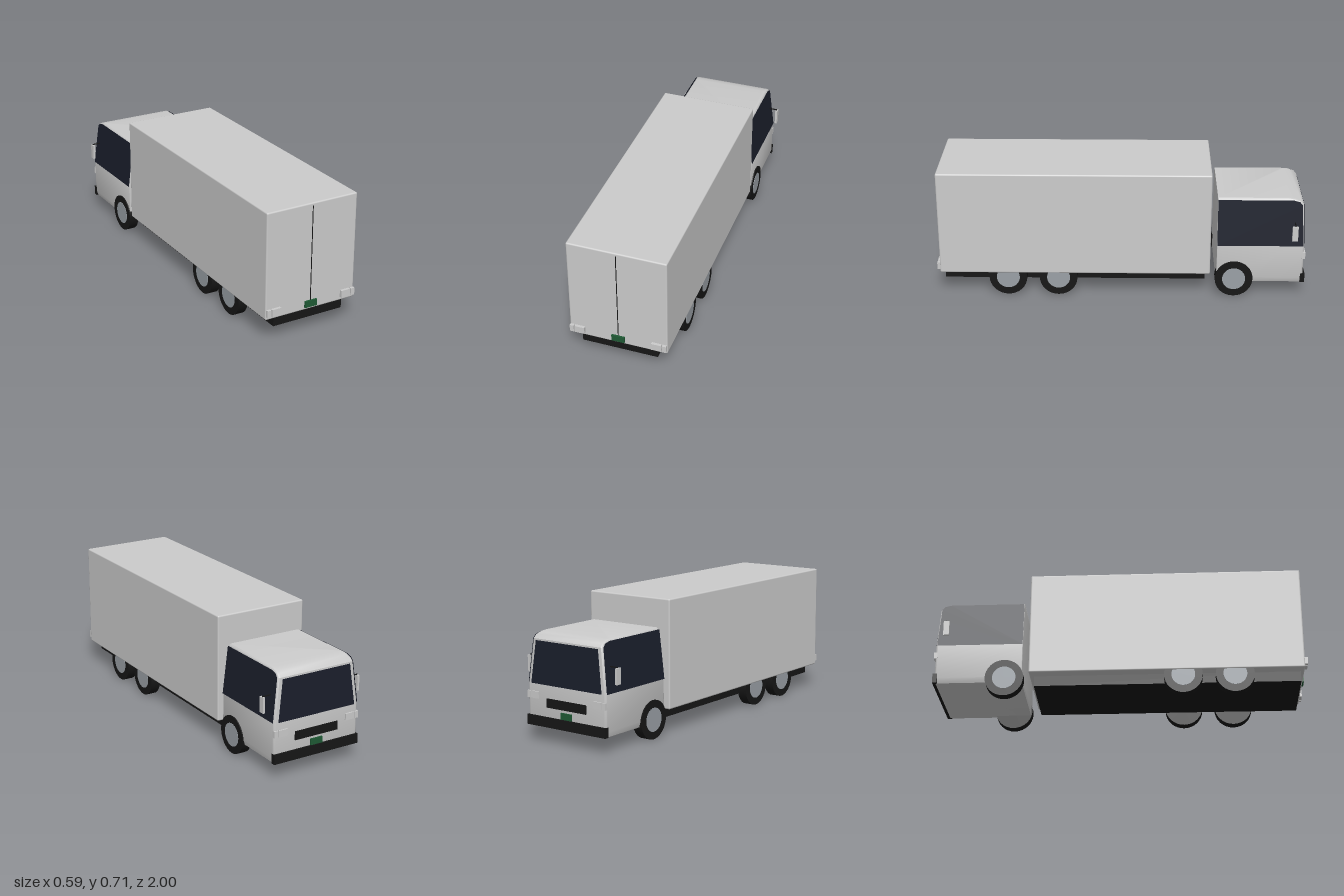
import * as THREE from 'three';
import { toCreasedNormals } from 'three/addons/utils/BufferGeometryUtils.js';
import { RoundedBoxGeometry } from 'three/addons/geometries/RoundedBoxGeometry.js';

const mat = (color, side = THREE.FrontSide) => new THREE.MeshStandardMaterial({ color, side });
const grey = mat(0xcccccc);
const white = mat(0xececec);
const black = mat(0x161616);
const glass = mat(0x1a1e2b, THREE.DoubleSide);
const steel = mat(0x9aa0a6);
const green = mat(0x1f5a35);

// Cab levels: [height, half width, front z]
const LEVELS = [
  [0.075, 0.232, -0.972], [0.082, 0.246, -0.983], [0.11, 0.255, -0.99],
  [0.30, 0.255, -0.99], [0.53, 0.227, -0.98], [0.547, 0.223, -0.966],
  [0.558, 0.219, -0.94], [0.564, 0.211, -0.905],
];
const CAB_BACK = -0.52;

export function createModel() {
  const truck = new THREE.Group();
  truck.name = 'boxTruck';

  const add = (name, geometry, material, x = 0, y = 0, z = 0) => {
    const mesh = new THREE.Mesh(geometry, material);
    mesh.name = name;
    mesh.position.set(x, y, z);
    truck.add(mesh);
    return mesh;
  };
  // Box given by its extents on each axis
  const block = (name, material, [x0, x1], [y0, y1], [z0, z1]) =>
    add(name, new THREE.BoxGeometry(x1 - x0, y1 - y0, z1 - z0), material,
      (x0 + x1) / 2, (y0 + y1) / 2, (z0 + z1) / 2);

  // Cargo box and chassis
  add('cargoBox', new RoundedBoxGeometry(0.528, 0.58, 1.47, 2, 0.008), grey, 0, 0.42, 0.25);
  block('chassis', black, [-0.205, 0.205], [0.074, 0.135], [-0.46, 0.965]);

  // Rear doors
  block('doorGap', black, [-0.002, 0.002], [0.142, 0.695], [0.98, 0.987]);
  block('rearPlate', green, [-0.035, 0.035], [0.145, 0.18], [0.984, 0.995]);

  // Cab shell with glazing
  add('cab', cabGeometry(), white);
  add('windscreen', windscreenGeometry(), glass);

  // Cab front
  block('bumper', black, [-0.257, 0.257], [0.083, 0.135], [-1, -0.975]);
  block('grille', black, [-0.13, 0.13], [0.185, 0.232], [-0.995, -0.98]);
  block('frontPlate', green, [-0.035, 0.035], [0.137, 0.171], [-0.998, -0.98]);

  for (const side of [1, -1]) {
    const label = side > 0 ? 'left' : 'right';
    const span = (a, b) => (side > 0 ? [a, b] : [-b, -a]);

    // Wheels
    for (const [axle, z, outer] of [['Front', -0.615, 0.261], ['Middle', 0.34, 0.258], ['Rear', 0.615, 0.258]]) {
      const tyre = new THREE.CylinderGeometry(0.103, 0.103, 0.054, 32).rotateZ(Math.PI / 2);
      const hub = new THREE.CylinderGeometry(0.063, 0.063, 0.01, 32).rotateZ(Math.PI / 2);
      add(`${label}${axle}Tyre`, tyre, black, side * (outer - 0.027), 0.103, z);
      add(`${label}${axle}Hub`, hub, steel, side * (outer - 0.003), 0.103, z);
    }

    // Lamps
    block(`${label}TailLamp`, grey, span(0.181, 0.234), [0.149, 0.188], [0.984, 1]);
    block(`${label}RearMarker`, grey, span(0.239, 0.261), [0.149, 0.188], [0.984, 1]);
    block(`${label}HeadLamp`, grey, span(0.178, 0.23), [0.224, 0.26], [-0.998, -0.98]);
    block(`${label}FrontMarker`, grey, span(0.234, 0.256), [0.224, 0.26], [-0.998, -0.98]);

    // Side glazing and mirror
    add(`${label}SideWindow`, sideWindowGeometry(side), glass);
    block(`${label}MirrorArm`, black, span(0.23, 0.289), [0.43, 0.435], [-0.938, -0.933]);
    block(`${label}Mirror`, grey, span(0.282, 0.294), [0.347, 0.43], [-0.949, -0.918]);
  }
  return truck;
}

// Interpolates half width (1) or front z (2) of the cab at a height
function cabAt(y, column) {
  let i = 1;
  while (i < LEVELS.length - 1 && LEVELS[i][0] < y) i++;
  const a = LEVELS[i - 1], b = LEVELS[i];
  return THREE.MathUtils.mapLinear(y, a[0], b[0], a[column], b[column]);
}

// Stacks rounded rectangles, one for each level, and caps both ends
function cabGeometry() {
  const positions = [], index = [], steps = 4;
  for (const [y, w, front] of LEVELS) {
    const corners = [[w, CAB_BACK, 0.004], [-w, CAB_BACK, 0.004], [-w, front, 0.012], [w, front, 0.012]];
    corners.forEach(([x, z, r], c) => {
      const cx = x - Math.sign(x) * r;
      const cz = z + (c < 2 ? -r : r);
      for (let s = 0; s <= steps; s++) {
        const t = (c + s / steps) * Math.PI / 2;
        positions.push(cx + r * Math.cos(t), y, cz + r * Math.sin(t));
      }
    });
  }
  const n = 4 * (steps + 1);
  const last = (LEVELS.length - 1) * n;
  for (let l = 0; l < LEVELS.length - 1; l++) {
    for (let i = 0; i < n; i++) {
      const a = l * n + i, b = l * n + (i + 1) % n;
      index.push(a, a + n, b, b, a + n, b + n);
    }
  }
  for (let i = 1; i < n - 1; i++) {
    index.push(0, i, i + 1);
    index.push(last, last + i + 1, last + i);
  }
  const g = new THREE.BufferGeometry();
  g.setAttribute('position', new THREE.Float32BufferAttribute(positions, 3));
  g.setIndex(index);
  return toCreasedNormals(g, 0.6);
}

function flatShape(points) {
  return new THREE.ShapeGeometry(new THREE.Shape(points.map(([x, y]) => new THREE.Vector2(x, y))));
}

// Side glass: outline in (z, y), laid on the sloping cab side
function sideWindowGeometry(side) {
  const g = flatShape([[CAB_BACK - 0.001, 0.3], [CAB_BACK - 0.001, 0.556], [-0.925, 0.556],
    [-0.957, 0.547], [-0.973, 0.53], [-0.984, 0.3]]);
  const p = g.attributes.position;
  for (let i = 0; i < p.count; i++) {
    const z = p.getX(i), y = p.getY(i);
    p.setXYZ(i, side * (cabAt(Math.min(y, 0.53), 1) - Math.max(0, y - 0.53) * 0.12 + 0.003), y, z);
  }
  g.computeVertexNormals();
  return g;
}

// Windscreen: outline in (x, y), laid on the sloping cab front
function windscreenGeometry() {
  const g = flatShape([[-0.232, 0.3], [-0.204, 0.522], [0.204, 0.522], [0.232, 0.3]]);
  const p = g.attributes.position;
  for (let i = 0; i < p.count; i++) p.setZ(i, cabAt(p.getY(i), 2) - 0.003);
  g.computeVertexNormals();
  return g;
}
